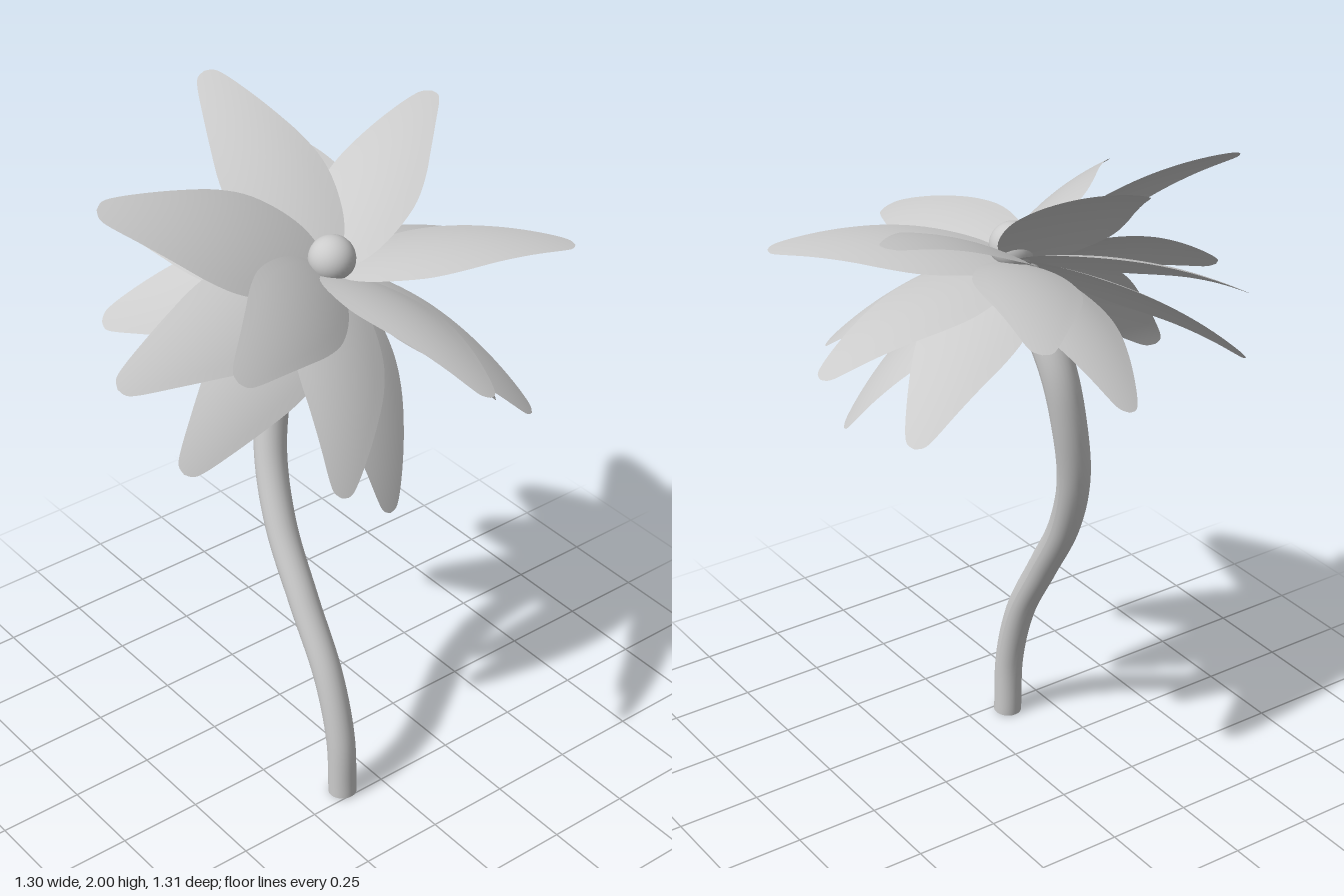
import * as THREE from 'three';

const deg = THREE.MathUtils.degToRad;

// Leaf-shaped petal along +z: outline gives half width against length, arched and gently domed
function petalGeometry(length) {
  const outline = new THREE.SplineCurve([
    [0.012, 0], [0.08, 0.08], [0.122, 0.2], [0.145, 0.37], [0.135, 0.52],
    [0.104, 0.68], [0.068, 0.84], [0.043, 0.94], [0.025, 0.985], [0, 1],
  ].map(([w, t]) => new THREE.Vector2(w, t)));
  const geo = new THREE.PlaneGeometry(1, 1, 8, 36);
  const pos = geo.attributes.position, uv = geo.attributes.uv;
  for (let i = 0; i < pos.count; i++) {
    const p = outline.getPoint(uv.getY(i));
    const side = 1 - 2 * uv.getX(i);
    const arch = 0.18 * p.y * (1 - p.y);
    const dome = -0.9 * (side * p.x) ** 2;
    pos.setXYZ(i, side * Math.max(p.x, 0), arch + dome, p.y * length);
  }
  geo.computeVertexNormals();
  return geo;
}

// Tube whose radius grows from bottom to top
function taperedTube(curve, segments, sides, radiusAt) {
  const geo = new THREE.TubeGeometry(curve, segments, 1, sides);
  const pos = geo.attributes.position, v = new THREE.Vector3();
  for (let i = 0; i < pos.count; i++) {
    const t = Math.floor(i / (sides + 1)) / segments;
    const c = curve.getPointAt(t);
    v.fromBufferAttribute(pos, i).sub(c).multiplyScalar(radiusAt(t)).add(c);
    pos.setXYZ(i, v.x, v.y, v.z);
  }
  geo.computeVertexNormals();
  return geo;
}

export function createModel() {
  const model = new THREE.Group();
  const material = new THREE.MeshStandardMaterial({ color: 0xcccccc });
  const petalMaterial = new THREE.MeshStandardMaterial({ color: 0xcccccc, side: THREE.DoubleSide });

  // Curving stem, closed at the foot
  const path = new THREE.CatmullRomCurve3([
    [-0.12, 0.005, 0.217], [-0.12, 0.2, 0.206], [-0.12, 0.4, 0.147], [-0.12, 0.6, 0.035],
    [-0.11, 0.8, -0.085], [-0.083, 1, -0.165], [-0.045, 1.2, -0.19],
    [-0.018, 1.36, -0.173], [0, 1.5, -0.105], [0.01, 1.6, -0.025],
  ].map(p => new THREE.Vector3(...p)));
  const radiusAt = t => 0.042 + 0.014 * t * t;
  const stem = new THREE.Mesh(taperedTube(path, 80, 24, radiusAt), material);
  stem.name = 'stem';
  const foot = new THREE.Mesh(new THREE.CircleGeometry(radiusAt(0), 24), material);
  foot.name = 'stemFoot';
  foot.position.copy(path.getPointAt(0));
  foot.lookAt(foot.position.clone().sub(path.getTangentAt(0)));
  model.add(stem, foot);

  // Flower head, nodding forward
  const flower = new THREE.Group();
  flower.name = 'flowerHead';
  flower.position.set(0.008, 1.622, -0.015);
  flower.rotation.x = deg(20);
  model.add(flower);

  const bud = new THREE.Mesh(new THREE.SphereGeometry(0.065, 32, 20), material);
  bud.name = 'flowerCentre';
  bud.position.y = 0.05;
  flower.add(bud);

  // Three whorls of six petals, each pitched lower than the last and twisted like blades
  const petal = petalGeometry(0.67);
  const whorls = [
    { name: 'upperPetal', pitch: 14.5, turn: 0 },
    { name: 'middlePetal', pitch: -13.5, turn: 30 },
    { name: 'lowerPetal', pitch: -33, turn: -10 },
  ];
  for (const { name, pitch, turn } of whorls) {
    for (let k = 0; k < 6; k++) {
      const mesh = new THREE.Mesh(petal, petalMaterial);
      mesh.name = name;
      mesh.rotation.set(deg(-pitch), deg(turn + k * 60), deg(-20), 'YXZ');
      flower.add(mesh);
    }
  }
  return model;
}
